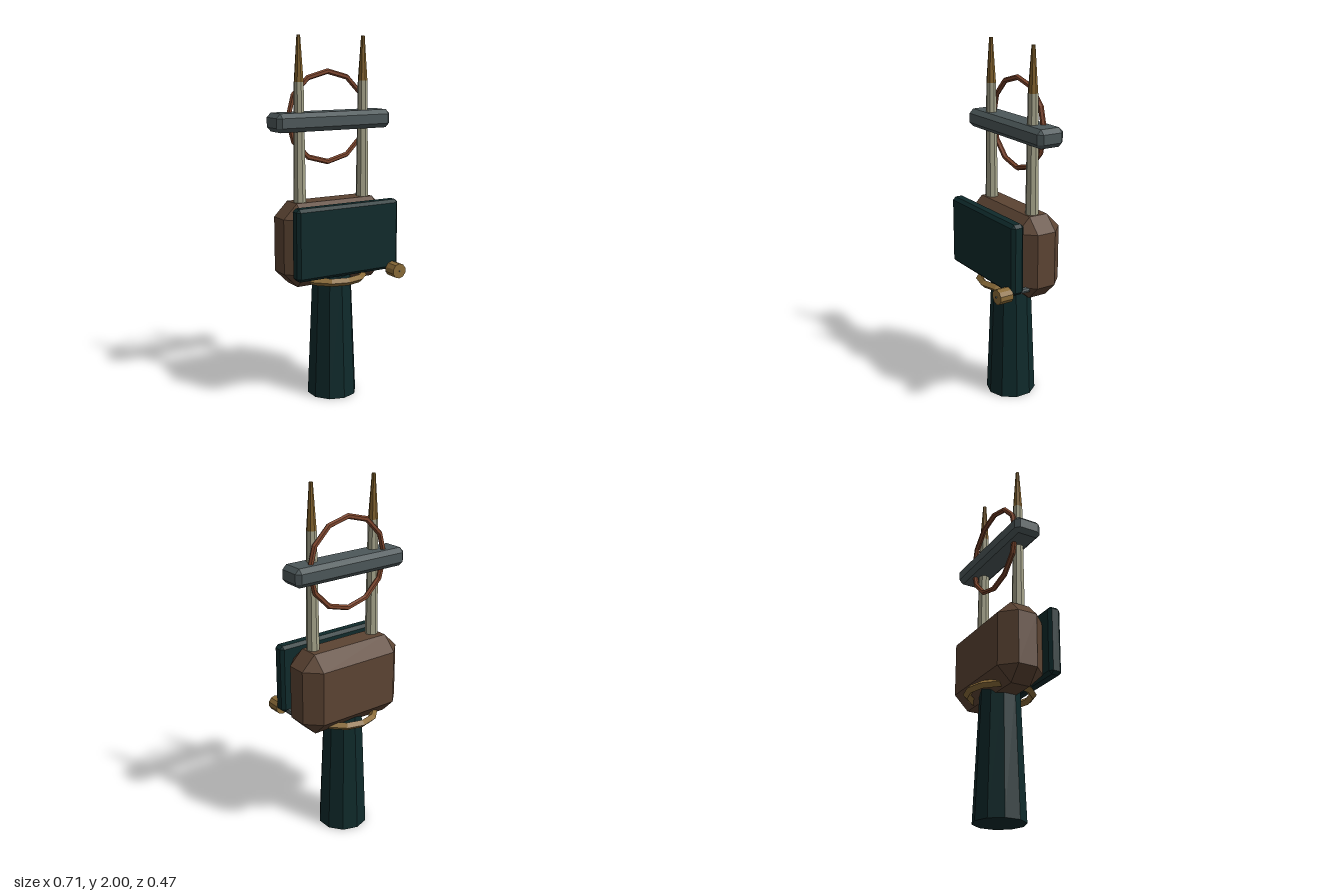
import * as THREE from 'three';
import { ConvexGeometry } from 'three/addons/geometries/ConvexGeometry.js';

const material = (name, color) => {
  const m = new THREE.MeshStandardMaterial({ color, flatShading: true });
  m.name = name;
  return m;
};

// Box with every edge cut at 45 degrees
function chamferBox(w, h, d, c) {
  const points = [];
  for (const x of [-1, 1]) for (const y of [-1, 1]) for (const z of [-1, 1]) {
    const X = w / 2, Y = h / 2, Z = d / 2;
    points.push(
      new THREE.Vector3(x * X, y * (Y - c), z * (Z - c)),
      new THREE.Vector3(x * (X - c), y * Y, z * (Z - c)),
      new THREE.Vector3(x * (X - c), y * (Y - c), z * Z)
    );
  }
  return new ConvexGeometry(points);
}

// Cylinder standing between two heights
function column(rTop, rBottom, y0, y1, sides) {
  return new THREE.CylinderGeometry(rTop, rBottom, y1 - y0, sides).translate(0, (y0 + y1) / 2, 0);
}

// Cylinder along z between two depths
function rod(r, z0, z1, sides) {
  return new THREE.CylinderGeometry(r, r, z1 - z0, sides).rotateX(Math.PI / 2).translate(0, 0, (z0 + z1) / 2);
}

export function createModel() {
  const teal = material('dark teal', 0x0f2a2b);
  const brown = material('brown', 0x5c4433);
  const brass = material('brass', 0x8a6b38);
  const agedBrass = material('aged brass', 0x80602a);
  const copper = material('copper', 0x7d452c);
  const slate = material('slate grey', 0x4c5759);
  const pale = material('pale metal', 0xa5a38a);

  const model = new THREE.Group();
  model.name = 'device';
  const add = (name, geometry, mat, x = 0, y = 0, z = 0) => {
    const mesh = new THREE.Mesh(geometry, mat);
    mesh.name = name;
    mesh.position.set(x, y, z);
    model.add(mesh);
  };

  // Grip and the collar ring around its top
  add('handle', column(0.11, 0.14, 0, 0.7, 10), teal, 0, 0, -0.04);
  add('collar', new THREE.TorusGeometry(0.175, 0.022, 4, 12).rotateX(Math.PI / 2).rotateY(Math.PI / 2),
    brass, 0, 0.688, -0.04);

  // Housing with its front panel
  add('housing', chamferBox(0.64, 0.46, 0.27, 0.08), brown, 0, 0.89, -0.054);
  add('frontPanel', chamferBox(0.635, 0.39, 0.074, 0.017), teal, 0, 0.922, 0.118);

  // Knob on a shaft at the lower left corner
  add('knobShaft', rod(0.016, 0.03, 0.16, 8), slate, 0.275, 0.73, 0);
  add('knob', rod(0.042, 0.15, 0.228, 10), brass, 0.275, 0.73, 0);
  add('knobPin', rod(0.005, 0.22, 0.234, 6), slate, 0.275, 0.73, 0);

  // Pair of prongs with pointed tips
  for (const [side, x] of [['left', 0.2], ['right', -0.2]]) {
    add(side + 'Prong', column(0.027, 0.036, 1.08, 1.76, 8), pale, x, 0, -0.04);
    add(side + 'ProngTip', column(0.01, 0.027, 1.755, 2, 8), agedBrass, x, 0, -0.04);
  }

  // Crossbar and the loop behind the prongs
  add('crossbar', chamferBox(0.708, 0.1, 0.158, 0.024), slate, 0, 1.55, -0.057);
  add('loop', new THREE.TorusGeometry(0.245, 0.015, 6, 12), copper, 0, 1.566, -0.081);

  return model;
}
